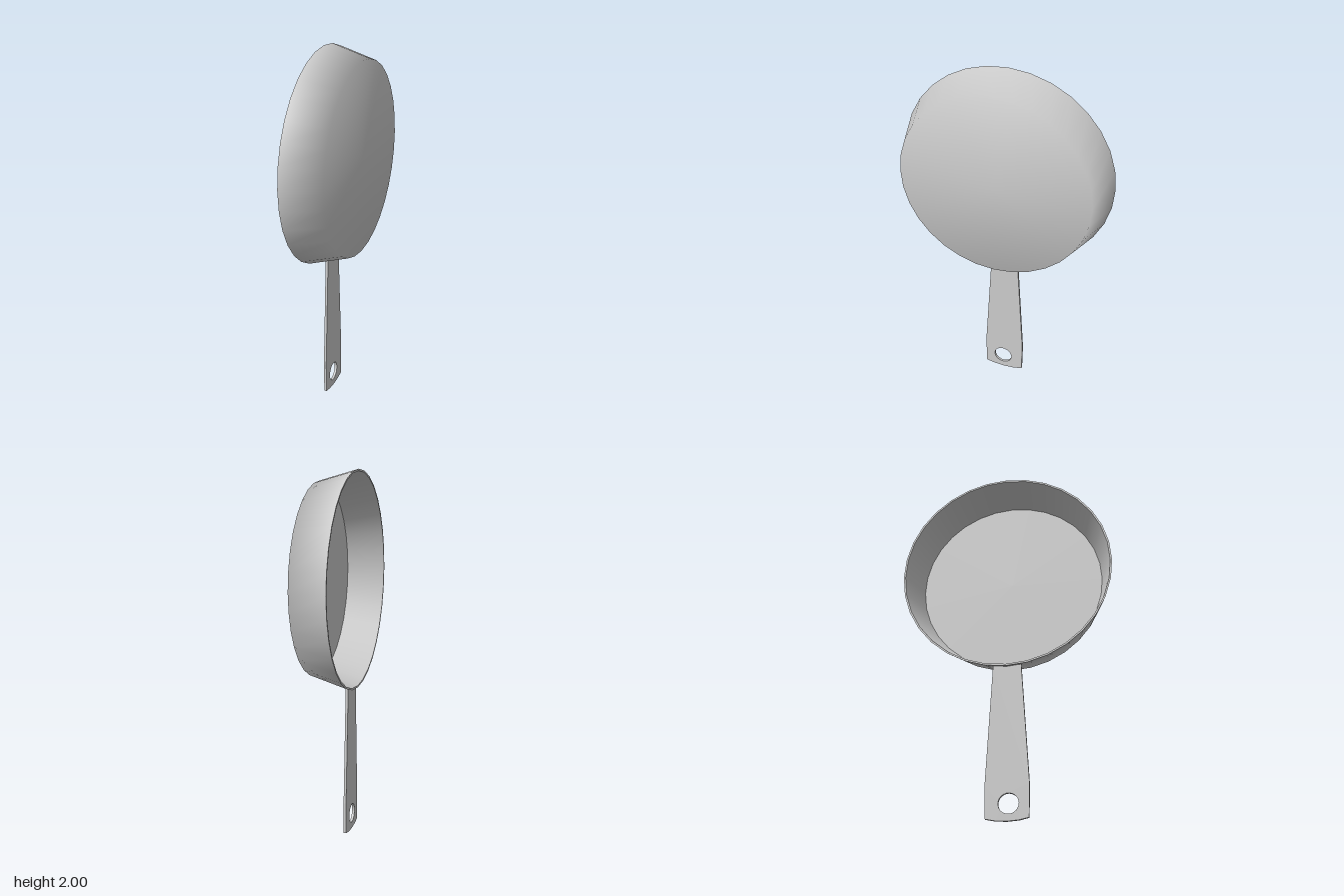
import * as THREE from 'three';

const material = new THREE.MeshStandardMaterial({ color: 0xcccccc });

function addMesh(parent, name, geometry) {
  const mesh = new THREE.Mesh(geometry, material);
  mesh.name = name;
  parent.add(mesh);
  return mesh;
}

// Each strip is a separate lathe, so edges between strips stay sharp.
function lathe(points) {
  return new THREE.LatheGeometry(points.map(([r, h]) => new THREE.Vector2(r, h)), 32);
}

export function createModel() {
  const model = new THREE.Group();
  model.name = 'fryingPan';

  // Pan bowl: axis along x, base towards +x, opening towards -x
  const bowl = new THREE.Group();
  bowl.name = 'bowl';
  bowl.rotation.z = -Math.PI / 2;
  bowl.position.y = 1.413;
  const rimR = 0.587, baseR = 0.525, half = 0.107, wall = 0.01;
  addMesh(bowl, 'outerShell', lathe([[rimR, -half], [baseR, half], [0, half]]));
  addMesh(bowl, 'rim', lathe([[rimR - wall, -half], [rimR, -half]]));
  addMesh(bowl, 'innerWall', lathe([[baseR - wall, half - wall], [rimR - wall, -half]]));
  addMesh(bowl, 'innerFloor', lathe([[0, half - wall], [baseR - wall, half - wall]]));
  model.add(bowl);

  // Flat handle, flaring towards its end, with a hanging hole
  const outline = new THREE.Shape([
    [0, 0], [0.06, 0.004], [0.112, 0.015], [0.115, 0.19], [0.076, 0.845],
    [-0.076, 0.845], [-0.115, 0.19], [-0.112, 0.015], [-0.06, 0.004],
  ].map(([x, y]) => new THREE.Vector2(x, y)));
  const hole = new THREE.Path();
  hole.absarc(0.007, 0.09, 0.053, 0, Math.PI * 2, true);
  outline.holes.push(hole);
  const handle = addMesh(model, 'handle', new THREE.ExtrudeGeometry(outline, {
    depth: 0.014, bevelEnabled: false, curveSegments: 16,
  }));
  handle.rotation.y = -Math.PI / 2;
  handle.position.x = -0.06;

  return model;
}
